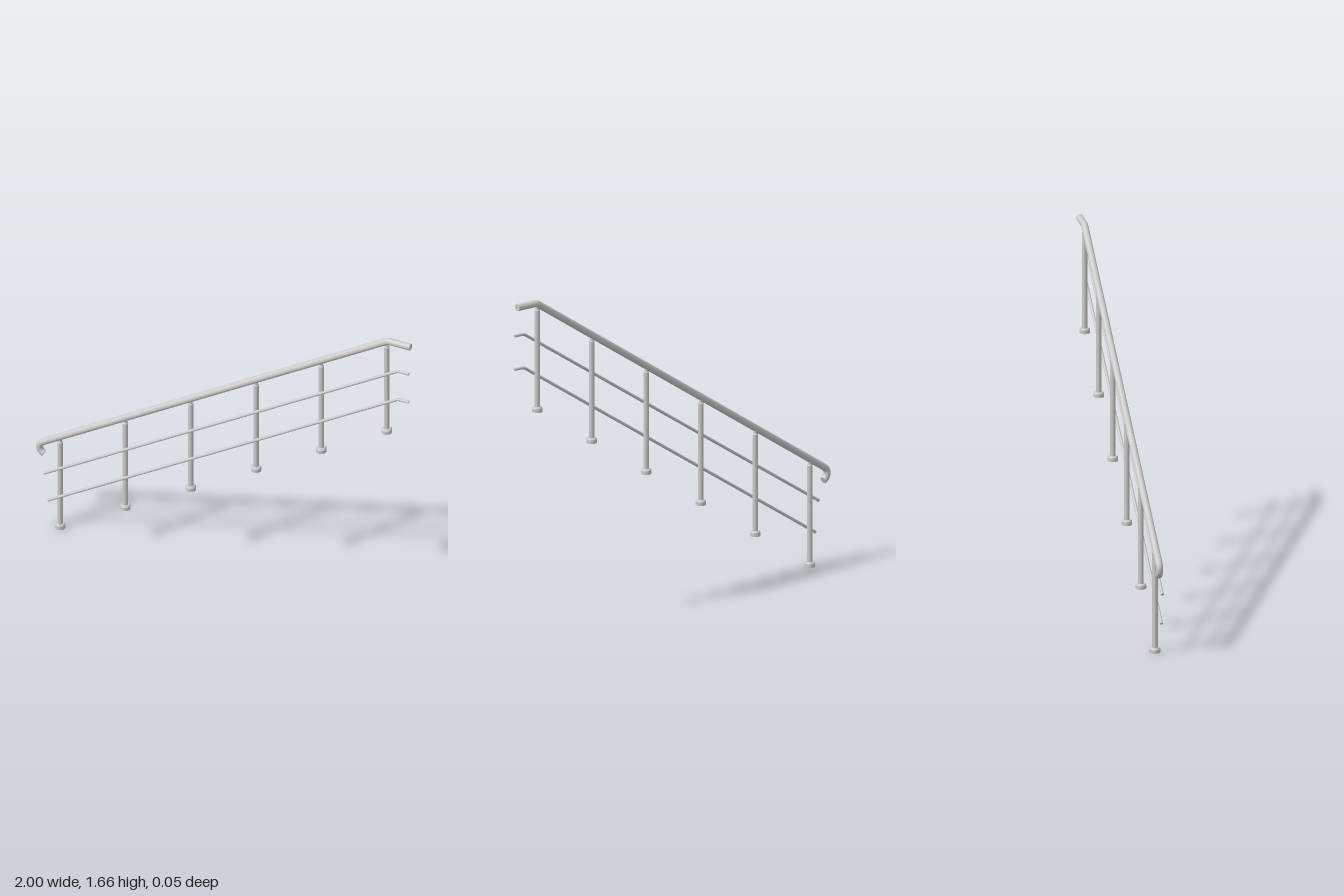
import * as THREE from 'three';

const SLOPE = 0.628;
const ANGLE = Math.atan(SLOPE);
const POST_Z = -0.002;
const BAR_Z = 0.0195;
const material = new THREE.MeshStandardMaterial({ color: 0xcccccc });
const vec = (x, y) => new THREE.Vector3(x, y, 0);

function add(parent, geometry, name) {
  const mesh = new THREE.Mesh(geometry, material);
  mesh.name = name;
  parent.add(mesh);
  return mesh;
}

// Round tube along a path, closed by a disc at each end
function cappedTube(path, radius, segments, sides, name) {
  const group = new THREE.Group();
  group.name = name;
  add(group, new THREE.TubeGeometry(path, segments, radius, sides), name + 'Tube');
  for (const [t, sign] of [[0, -1], [1, 1]]) {
    const cap = add(group, new THREE.CircleGeometry(radius, sides), name + 'End');
    const point = path.getPointAt(t);
    cap.position.copy(point);
    cap.lookAt(point.clone().addScaledVector(path.getTangentAt(t), sign));
  }
  return group;
}

// Sloping run that bends softly into a level end at x = 1
function addSlopeAndLevel(path, start, bend, soft) {
  const dir = bend.clone().sub(start).normalize();
  const before = bend.clone().addScaledVector(dir, -soft);
  const after = vec(bend.x + soft, bend.y);
  path.add(new THREE.LineCurve3(start, before));
  path.add(new THREE.QuadraticBezierCurve3(before, bend, after));
  path.add(new THREE.LineCurve3(after, vec(1, bend.y)));
  return path;
}

// Curled lower end, then the slope and the level top
function handrail() {
  const bend = vec(0.877, 1.643);
  const R = 0.037, cx = -0.9455;
  const cy = bend.y + (cx - bend.x) * SLOPE - R / Math.cos(ANGLE);
  const from = THREE.MathUtils.degToRad(250), to = Math.PI / 2 + ANGLE;
  const curl = [];
  for (let i = 0; i <= 16; i++) {
    const a = from + (to - from) * i / 16;
    curl.push(vec(cx + R * Math.cos(a), cy + R * Math.sin(a)));
  }
  const path = new THREE.CurvePath();
  path.add(new THREE.CatmullRomCurve3(curl));
  addSlopeAndLevel(path, curl[16], bend, 0.012);
  const rail = cappedTube(path, 0.0175, 260, 24, 'handrail');
  rail.position.z = POST_Z;
  return rail;
}

// Post with chamfered foot, shaft and a thin neck up to the handrail
function post() {
  const group = new THREE.Group();
  group.name = 'post';
  const sections = [
    ['foot', 0.026, 0.026, 0, 0.018],
    ['footChamfer', 0.026, 0.021, 0.018, 0.026],
    ['shaft', 0.0135, 0.0135, 0.02, 0.512],
    ['shaftTop', 0.0135, 0.01, 0.512, 0.518],
    ['neck', 0.009, 0.009, 0.515, 0.545],
  ];
  for (const [name, low, high, y0, y1] of sections) {
    add(group, new THREE.CylinderGeometry(high, low, y1 - y0, 24), name).position.y = (y0 + y1) / 2;
  }
  return group;
}

export function createModel() {
  const model = new THREE.Group();
  model.name = 'stairRailing';
  model.add(handrail());

  // Six posts stepping up the stair
  for (let i = 0; i < 6; i++) {
    const p = post();
    p.position.set(-0.872 + i * 0.3488, i * 0.219, POST_Z);
    model.add(p);
  }

  // Two thin bars in front of the posts
  const bars = [
    ['upperBar', -0.948, 1.495],
    ['lowerBar', -0.926, 1.326],
  ];
  for (const [name, startX, topY] of bars) {
    const bend = vec(0.941, topY);
    const start = vec(startX, topY + (startX - bend.x) * 0.624);
    const bar = cappedTube(addSlopeAndLevel(new THREE.CurvePath(), start, bend, 0.012), 0.0075, 220, 16, name);
    bar.position.z = BAR_Z;
    model.add(bar);
  }
  return model;
}
